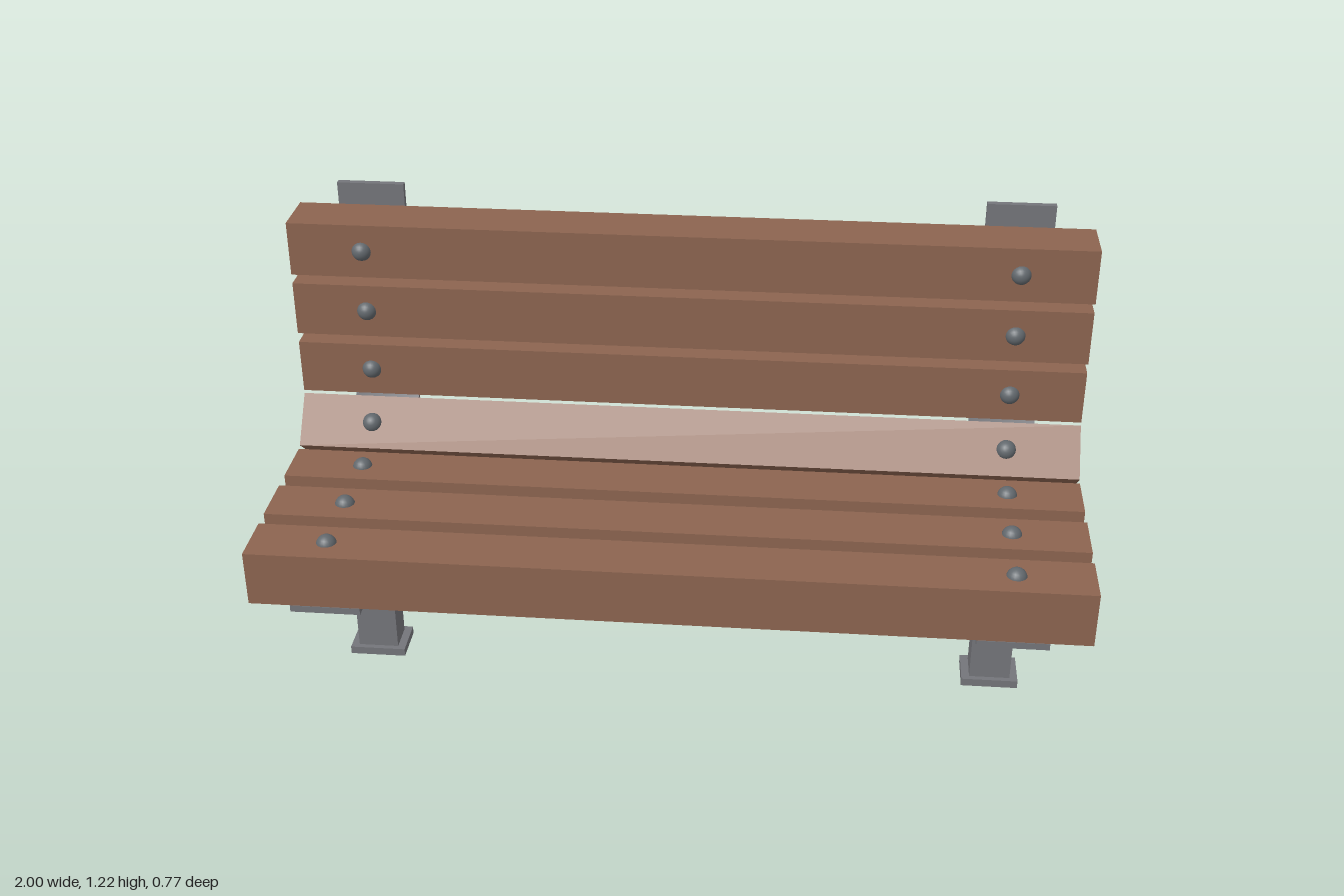
import * as THREE from 'three';
import { toCreasedNormals } from 'three/addons/utils/BufferGeometryUtils.js';

const wood = new THREE.MeshStandardMaterial({ color: 0x8c6450 });
wood.name = 'brown wood';
const steel = new THREE.MeshStandardMaterial({ color: 0x74757a });
steel.name = 'grey steel';
const boltSteel = new THREE.MeshStandardMaterial({ color: 0x62686d });
boltSteel.name = 'dark bolt steel';

const SIDE_X = 0.815; // distance of each support from the middle
const SLAT = 0.139; // slat thickness

function addMesh(parent, name, geometry, material, x = 0, y = 0, z = 0) {
  const mesh = new THREE.Mesh(geometry, material);
  mesh.name = name;
  mesh.position.set(x, y, z);
  parent.add(mesh);
  return mesh;
}

// Slat with two domed bolts on its local top; tilt turns that top forward
function addSlat(parent, name, y, z, tilt) {
  const slat = new THREE.Group();
  slat.name = name;
  addMesh(slat, 'plank', new THREE.BoxGeometry(2, SLAT, SLAT), wood);
  for (const side of [-1, 1]) {
    const bolt = new THREE.SphereGeometry(0.025, 20, 12);
    addMesh(slat, 'bolt', bolt, boltSteel, side * SIDE_X, SLAT / 2 - 0.005, 0);
  }
  slat.position.set(0, y, z);
  slat.rotation.x = tilt;
  parent.add(slat);
}

// Bent flat bar that carries the seat and back, drawn as (z, y)
function strapGeometry() {
  const outer = [[0.385, 0.415], [-0.152, 0.415], [-0.255, 0.461], [-0.373, 0.612], [-0.383, 0.69], [-0.383, 1.215]];
  const inner = [[-0.366, 1.215], [-0.366, 0.692], [-0.358, 0.62], [-0.244, 0.474], [-0.147, 0.432], [0.385, 0.432]];
  const shape = new THREE.Shape([...outer, ...inner].map(([z, y]) => new THREE.Vector2(z, y)));
  const geometry = new THREE.ExtrudeGeometry(shape, { depth: 0.17, bevelEnabled: false });
  geometry.translate(0, 0, -0.085);
  geometry.rotateY(-Math.PI / 2);
  return toCreasedNormals(geometry, 0.7);
}

export function createModel() {
  const bench = new THREE.Group();
  bench.name = 'bench';

  // Seat, corner and back slats
  for (const z of [0.316, 0.132, -0.056]) addSlat(bench, 'seatSlat', 0.503, z, 0);
  addSlat(bench, 'cornerSlat', 0.586, -0.235, 0.88);
  for (const y of [0.762, 0.926, 1.089]) addSlat(bench, 'backSlat', y, -0.295, Math.PI / 2);

  // Supports
  for (const [name, side] of [['rightSupport', -1], ['leftSupport', 1]]) {
    const support = new THREE.Group();
    support.name = name;
    support.position.x = side * SIDE_X;
    addMesh(support, 'strap', strapGeometry(), steel);
    addMesh(support, 'post', new THREE.BoxGeometry(0.105, 0.4, 0.08), steel, 0, 0.216, -0.085);
    addMesh(support, 'footPlate', new THREE.BoxGeometry(0.146, 0.021, 0.108), steel, 0, 0.0105, -0.085);
    bench.add(support);
  }
  return bench;
}
